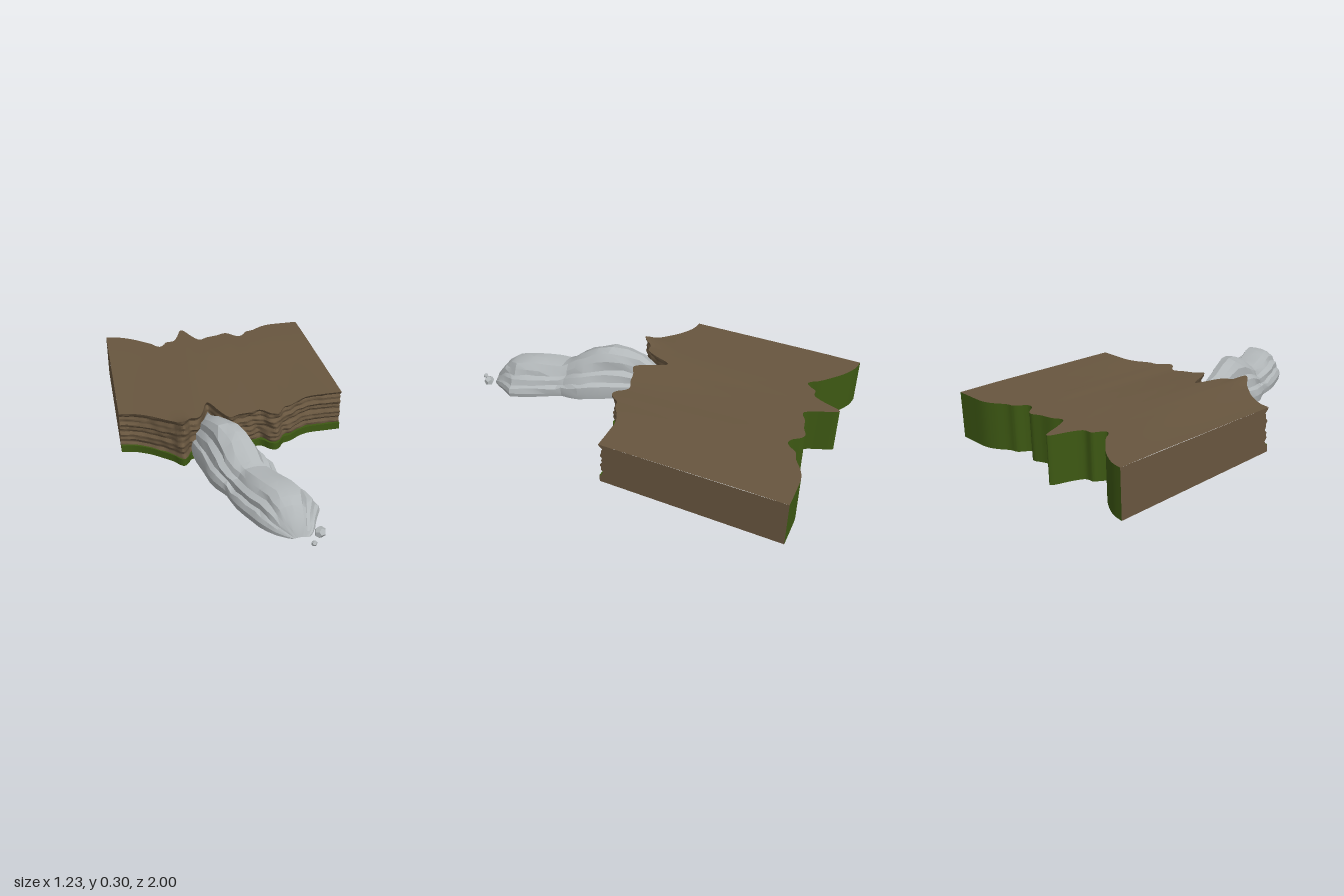
import * as THREE from 'three';
import { toCreasedNormals } from 'three/addons/utils/BufferGeometryUtils.js';

const brown = new THREE.MeshStandardMaterial({ color: 0x68563f });
brown.name = 'earth';
const green = new THREE.MeshStandardMaterial({ color: 0x3d5813 });
green.name = 'grass';
const grey = new THREE.MeshStandardMaterial({ color: 0xb2b7b9 });
grey.name = 'stone';

const lerp = THREE.MathUtils.lerp;
const hash = (a, b) => {
  const s = Math.sin(a * 127.1 + b * 311.7) * 43758.5453;
  return (s - Math.floor(s)) * 2 - 1;
};

// Surface from a rule fn(u, v) -> [x, y, z]; it faces du x dv
function sheet(nu, nv, fn, crease = 0.5) {
  const pos = [], idx = [];
  for (let j = 0; j <= nv; j++)
    for (let i = 0; i <= nu; i++) pos.push(...fn(i / nu, j / nv));
  for (let j = 0; j < nv; j++)
    for (let i = 0; i < nu; i++) {
      const a = j * (nu + 1) + i, d = a + nu + 1;
      idx.push(a, a + 1, d + 1, a, d + 1, d);
    }
  const g = new THREE.BufferGeometry();
  g.setAttribute('position', new THREE.Float32BufferAttribute(pos, 3));
  g.setIndex(idx);
  return toCreasedNormals(g, crease);
}

// Cliff line seen from above (x, z); the back edge repeats it
const edge = new THREE.SplineCurve([
  [-0.617, -0.02], [-0.55, -0.01], [-0.47, 0.03], [-0.4, 0.085], [-0.35, 0.13], [-0.325, 0.165],
  [-0.3, 0.18], [-0.275, 0.155], [-0.255, 0.125], [-0.21, 0.115], [-0.18, 0.06], [-0.155, -0.015],
  [-0.138, -0.037], [-0.12, -0.015], [-0.09, 0.06], [-0.06, 0.115], [-0.035, 0.125], [0.01, 0.1],
  [0.07, 0.085], [0.12, 0.063], [0.15, 0.075], [0.18, 0.11], [0.21, 0.122], [0.235, 0.105],
  [0.265, 0.065], [0.31, 0.05], [0.37, 0.01], [0.43, -0.013], [0.52, -0.018], [0.617, -0.02],
].map(p => new THREE.Vector2(...p)));
const DEPTH = 0.963, LIP = 0.04, N = 180;

// Height of the plateau; w is 0 at the front and 1 at the back
function topY(x, w) {
  const front = 0.238 + 0.013 * Math.exp(-(((x + 0.24) / 0.2) ** 2)) - 0.012 * Math.exp(-(((x - 0.15) / 0.2) ** 2));
  const bump = 0.022 * Math.exp(-(((x + 0.3) / 0.035) ** 2)) * Math.exp(-w * 18);
  return lerp(front, 0.248, Math.min(1, w * 1.3)) + bump;
}

// Eroded strata of the cliff face
function inset(x, v) {
  const y = v + 0.03 * Math.sin(x * 9);
  const strata = 0.45 + 0.3 * Math.sin(y * 17) + 0.25 * Math.sin(y * 41 + x * 6);
  const cracks = 0.35 * Math.sin(x * 47 + 2 * Math.sin(v * 7)) + 0.3 * Math.sin(x * 93 + v * 9);
  const calm = 0.25 + 0.75 * Math.exp(-((x / 0.38) ** 4));
  return 0.016 * (strata + cracks * calm + 0.4) * Math.min(1, (1 - v) * 10);
}
function cliff(u, v) {
  const p = edge.getPoint(u);
  return [p.x, lerp(LIP, topY(p.x, 0), v), p.y - inset(p.x, v)];
}
const at = (u, y, w) => {
  const p = edge.getPoint(u);
  return [p.x, y === null ? topY(p.x, w) : y, p.y - DEPTH * w];
};

// Boulder rows: z, left x, right x, top height
const rows = [
  [0.918, 0.09, 0.165, 0.034], [0.905, 0.06, 0.185, 0.075], [0.875, 0.015, 0.205, 0.12], [0.84, -0.02, 0.22, 0.165],
  [0.8, -0.05, 0.24, 0.19], [0.76, -0.07, 0.262, 0.2], [0.7, -0.1, 0.24, 0.206], [0.64, -0.125, 0.21, 0.2],
  [0.58, -0.14, 0.175, 0.19], [0.53, -0.15, 0.145, 0.187], [0.5, -0.165, 0.13, 0.2], [0.45, -0.195, 0.128, 0.235],
  [0.4, -0.212, 0.118, 0.264], [0.35, -0.22, 0.09, 0.285], [0.28, -0.232, 0.052, 0.297], [0.2, -0.248, 0.01, 0.287],
  [0.12, -0.255, -0.03, 0.255], [0.06, -0.215, -0.06, 0.222], [0, -0.175, -0.1, 0.2], [-0.036, -0.15, -0.125, 0.19],
];
// Stepped cross-section: share of width, share of height
const section = [
  [0.02, 0], [0, 0.2], [0.03, 0.36], [0.1, 0.4], [0.11, 0.58], [0.2, 0.66], [0.23, 0.82], [0.34, 0.95],
  [0.5, 1], [0.68, 0.95], [0.76, 0.78], [0.78, 0.6], [0.88, 0.54], [0.91, 0.38], [0.99, 0.32], [1, 0.14], [0.98, 0],
];
const BASE = 0.028;
function boulder(u, v) {
  const j = Math.round(v * (rows.length - 1)), i = Math.round(u * (section.length - 1));
  const [z, l, r, h] = rows[j], [s, t] = section[i];
  const inner = i > 1 && i < section.length - 2 && i !== 8 ? 1 : 0;
  const amp = inner * Math.min(1, (h - BASE) * 8);
  return [
    lerp(l, r, s) + 0.006 * amp * hash(i, j >> 1),
    BASE + (h - BASE) * t + 0.006 * amp * hash(i + 40, j),
    z,
  ];
}
function boulderBase(u, v) {
  const row = rows[rows.length - 1 - Math.round(v * (rows.length - 1))];
  return [lerp(row[1], row[2], lerp(0.02, 0.98, u)), BASE, row[0]];
}

export function createModel() {
  const model = new THREE.Group();
  const add = (parent, name, geometry, material) => {
    const m = new THREE.Mesh(geometry, material);
    m.name = name;
    parent.add(m);
    return m;
  };

  // Earth block
  const block = new THREE.Group();
  block.name = 'cliffBlock';
  model.add(block);
  add(block, 'plateau', sheet(N, 30, (u, v) => at(u, null, v * v), 1), brown);
  add(block, 'cliffFace', sheet(N, 28, cliff, 0.6), brown);
  for (const u0 of [0, 1]) {
    const rule = (a, v) => {
      const w = u0 ? a : 1 - a;
      const c = cliff(u0, v);
      const b = at(u0, 0, 1);
      return [c[0], lerp(c[1], lerp(LIP, topY(c[0], 1), v), w), lerp(c[2], b[2], w)];
    };
    const name = u0 ? 'leftSide' : 'rightSide';
    add(block, name, sheet(12, 28, rule), brown);
    add(block, name + 'Foot', sheet(1, 1, (a, v) => at(u0, v * LIP, u0 ? a : 1 - a)), brown);
  }

  // Grass: front strip with ledge, back wall and underside
  add(block, 'grassStrip', sheet(N, 1, (u, v) => at(u, v * LIP, 0)), green);
  add(block, 'grassLedge', sheet(N, 1, (u, v) => (v ? cliff(u, 0) : at(u, LIP, 0))), green);
  add(block, 'backWall', sheet(N, 1, (u, v) => at(1 - u, v ? null : 0, 1)), green);
  add(block, 'underside', sheet(N, 1, (u, v) => at(u, 0, 1 - v)), green);

  // Long boulder spilling out of the notch
  const rock = new THREE.Group();
  rock.name = 'boulder';
  model.add(rock);
  add(rock, 'boulderBody', sheet(section.length - 1, rows.length - 1, boulder, 0.35), grey);
  add(rock, 'boulderBase', sheet(1, rows.length - 1, boulderBase), grey);

  // Loose stones at the tip
  for (const [x, y, z, r, h] of [[0.213, 0.058, 0.928, 0.029, 0.028], [0.168, 0.045, 0.985, 0.014, 0.014]]) {
    const s = add(model, 'looseStone', new THREE.DodecahedronGeometry(1, 0), grey);
    s.position.set(x, y, z);
    s.scale.set(r * 0.95, h, r * 1.05);
    s.rotation.y = x * 9;
  }
  return model;
}
